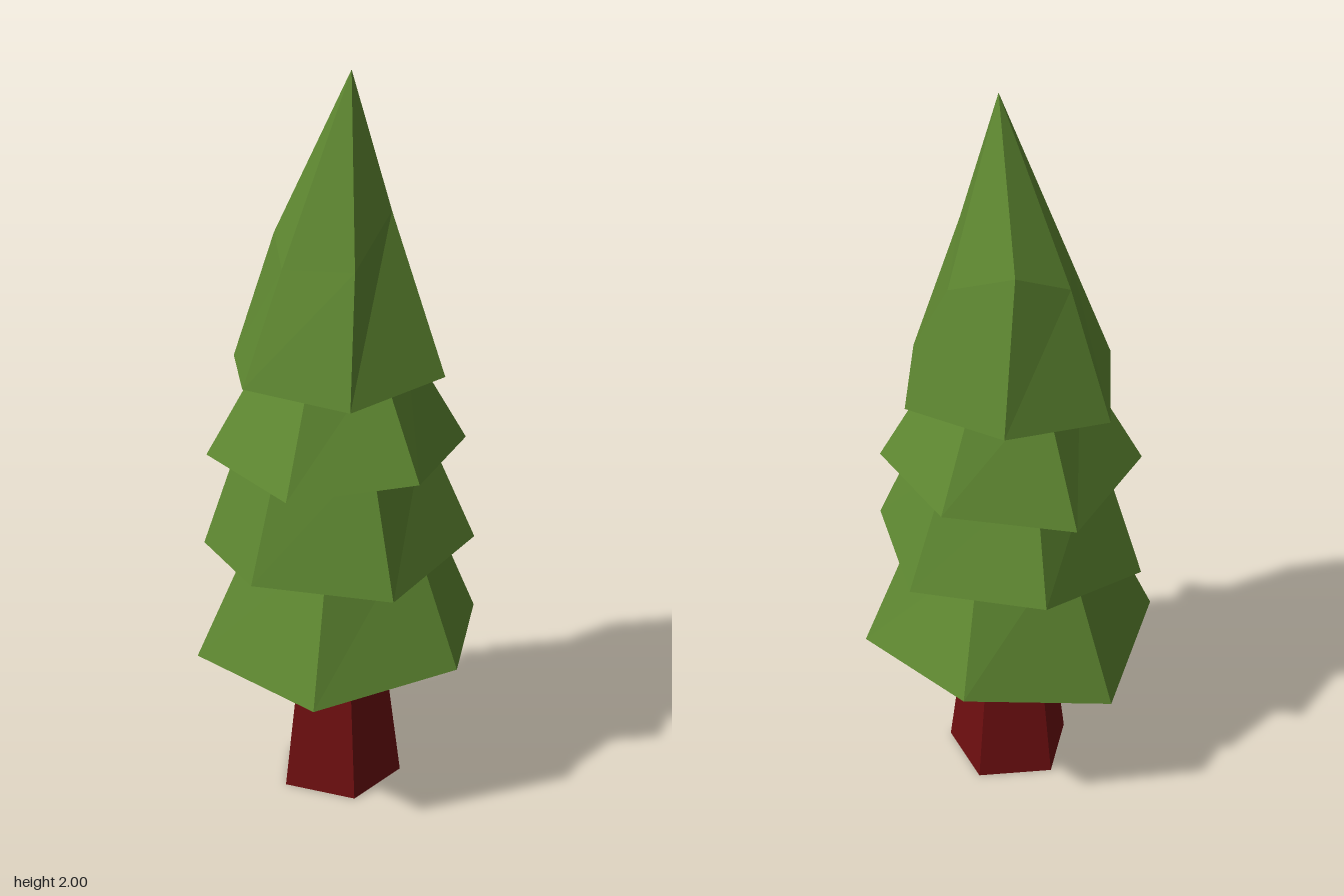
import * as THREE from 'three';

const leafGreen = new THREE.MeshStandardMaterial({ color: 0x5e8731, flatShading: true });
leafGreen.name = 'leafGreen';
const barkRed = new THREE.MeshStandardMaterial({ color: 0x6e0f10, flatShading: true });
barkRed.name = 'barkRed';

// Skin between rings of [x, y, z] points (counter-clockwise from above), closed at both ends.
function loft(rings) {
  const n = rings[0].length;
  const pos = [];
  const tri = (...corners) => corners.forEach((c) => pos.push(...c));
  const middle = (ring) => [0, 1, 2].map((k) => ring.reduce((s, p) => s + p[k], 0) / n);
  const low = rings[0];
  const high = rings[rings.length - 1];
  const lowMid = middle(low);
  const highMid = middle(high);
  for (let i = 0; i < n; i++) {
    const j = (i + 1) % n;
    tri(lowMid, low[j], low[i]);
    if (high !== low) tri(highMid, high[i], high[j]);
    for (let r = 0; r < rings.length - 1; r++) {
      const a = rings[r], b = rings[r + 1];
      tri(a[i], a[j], b[j]);
      tri(a[i], b[j], b[i]);
    }
  }
  const geometry = new THREE.BufferGeometry();
  geometry.setAttribute('position', new THREE.Float32BufferAttribute(pos, 3));
  geometry.computeVertexNormals();
  return geometry;
}

// Shrunken flat copy of a ring, at height y.
const shrink = (ring, y, scale, dx = 0, dz = 0) =>
  ring.map(([x, , z]) => [x * scale + dx, y, z * scale + dz]);

// Uneven hexagonal hems of the branch tiers.
const lowerHem = [
  [0, 0.45, 0.4], [0.346, 0.435, 0.2], [0.346, 0.46, -0.2],
  [0, 0.38, -0.4], [-0.346, 0.43, -0.2], [-0.346, 0.405, 0.2],
];
const middleHem = [
  [0.195, 0.735, 0.305], [0.365, 0.725, -0.015], [0.17, 0.74, -0.325],
  [-0.19, 0.672, -0.31], [-0.365, 0.714, 0.01], [-0.17, 0.69, 0.32],
];
const upperHem = [
  [-0.08, 0.99, 0.33], [0.25, 0.983, 0.23], [0.33, 0.993, -0.105],
  [0.075, 0.943, -0.335], [-0.255, 0.975, -0.235], [-0.33, 0.963, 0.1],
];
const crownHem = [
  [0.08, 1.222, 0.285], [0.29, 1.214, 0.075], [0.21, 1.222, -0.21],
  [-0.08, 1.185, -0.29], [-0.29, 1.212, -0.075], [-0.21, 1.197, 0.21],
];
// Bend halfway up the crown
const crownBend = [
  [0.04, 1.645, 0.14], [0.18, 1.535, 0.03], [0.11, 1.61, -0.14],
  [-0.04, 1.54, -0.18], [-0.18, 1.51, -0.035], [-0.125, 1.53, 0.155],
];
const tip = crownHem.map(() => [-0.01, 2, 0.05]);

export function createModel() {
  const tree = new THREE.Group();
  tree.name = 'pineTree';
  const add = (name, geometry, material) => {
    const mesh = new THREE.Mesh(geometry, material);
    mesh.name = name;
    tree.add(mesh);
    return mesh;
  };

  // Tapered five-sided trunk with one corner at the back
  const trunk = add('trunk', new THREE.CylinderGeometry(0.108, 0.171, 0.5, 5), barkRed);
  trunk.position.y = 0.25;
  trunk.rotation.y = Math.PI;

  // Branch tiers, each running up inside the next
  add('lowerBranches', loft([lowerHem, shrink(lowerHem, 0.8, 0.59, 0, 0.015)]), leafGreen);
  add('middleBranches', loft([middleHem, shrink(middleHem, 1.05, 0.64, -0.01, 0)]), leafGreen);
  add('upperBranches', loft([upperHem, shrink(upperHem, 1.27, 0.52)]), leafGreen);
  add('crown', loft([crownHem, crownBend, tip]), leafGreen);

  return tree;
}
